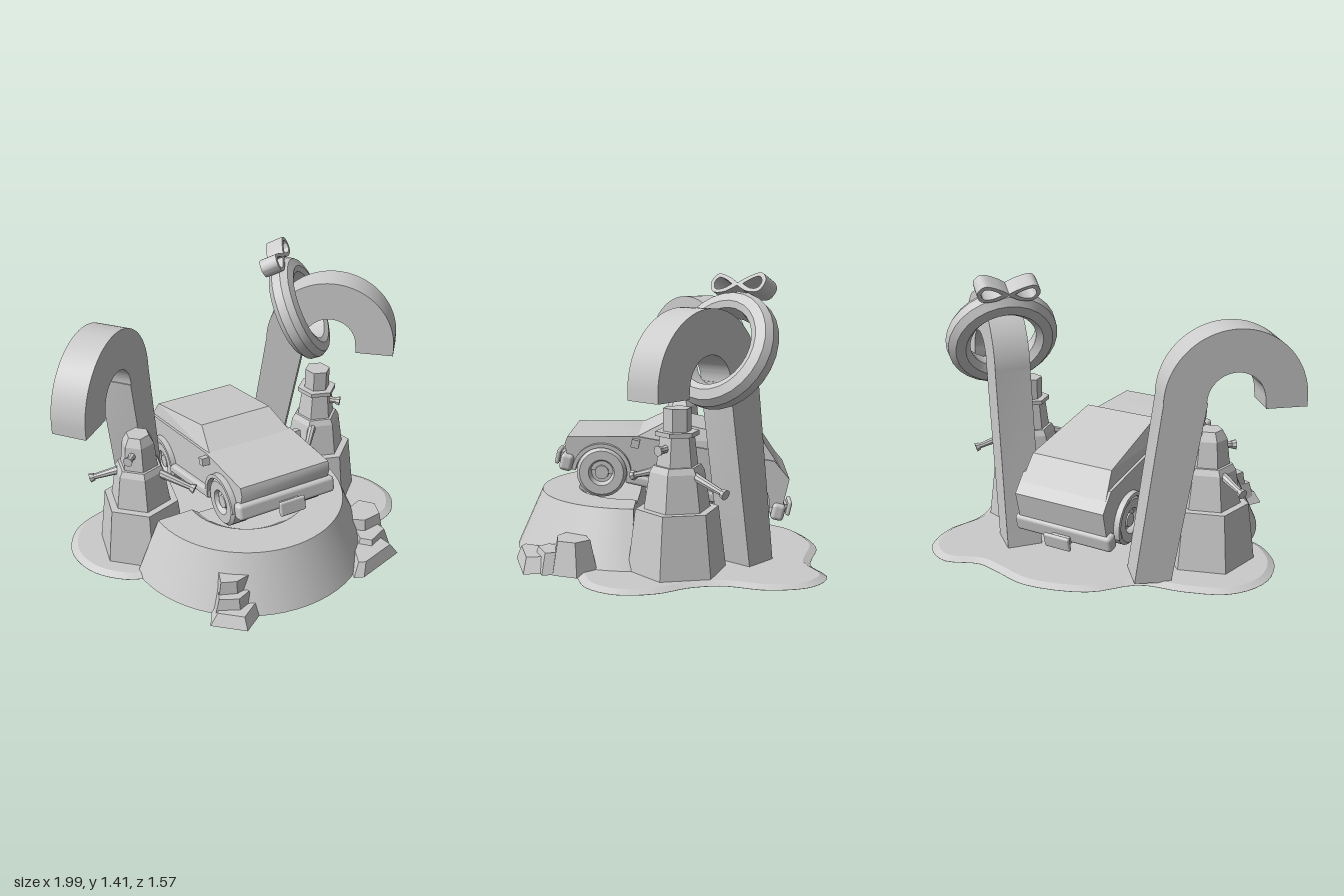
import * as THREE from 'three';
import { toCreasedNormals } from 'three/addons/utils/BufferGeometryUtils.js';
import { ConvexGeometry } from 'three/addons/geometries/ConvexGeometry.js';
import { RoundedBoxGeometry } from 'three/addons/geometries/RoundedBoxGeometry.js';

const smooth = new THREE.MeshStandardMaterial({ color: 0xcccccc, side: THREE.DoubleSide });
const flat = new THREE.MeshStandardMaterial({ color: 0xcccccc, flatShading: true });
const V2 = (x, y) => new THREE.Vector2(x, y);
const V3 = (x, y, z) => new THREE.Vector3(x, y, z);

function add(parent, name, geometry, pos = [0, 0, 0], material = smooth) {
  const mesh = new THREE.Mesh(geometry, material);
  mesh.name = name;
  mesh.position.set(...pos);
  parent.add(mesh);
  return mesh;
}

function extrude(shape, depth, curveSegments = 16) {
  const g = new THREE.ExtrudeGeometry(shape, { depth, curveSegments, bevelEnabled: false });
  g.translate(0, 0, -depth / 2);
  return toCreasedNormals(g, 0.6);
}

function lathe(points, segments, start = 0, length = Math.PI * 2) {
  const g = new THREE.LatheGeometry(points.map(p => V2(...p)), segments, start, length);
  return toCreasedNormals(g, 0.5);
}

// Flat wavy ground sheet with a sloping rim
function buildGround(root) {
  const outline = [[0.1, -0.79], [-0.2, -0.7], [-0.38, -0.52], [-0.6, -0.47], [-0.8, -0.38], [-0.9, -0.2],
    [-0.87, 0], [-0.75, 0.14], [-0.6, 0.22], [-0.4, 0.5], [0.3, 0.5], [0.65, 0.38], [0.8, 0.32], [0.89, 0.18],
    [0.87, 0], [0.78, -0.15], [0.75, -0.3], [0.8, -0.5], [0.75, -0.7], [0.6, -0.79], [0.42, -0.73], [0.3, -0.75]];
  const curve = new THREE.CatmullRomCurve3(outline.map(([x, z]) => V3(x, -z, 0)), true);
  const shape = new THREE.Shape(curve.getPoints(90).slice(0, -1).map(p => V2(p.x, p.y)));
  const sheet = new THREE.ExtrudeGeometry(shape, {
    depth: 0.001, bevelThickness: 0.018, bevelSize: 0.035, bevelOffset: -0.035, bevelSegments: 1,
  });
  // Push the lower bevel outward into a straight footprint
  const p = sheet.attributes.position;
  for (let i = 0; i < p.count; i++) p.setZ(i, Math.max(p.getZ(i), 0));
  add(root, 'groundSheet', toCreasedNormals(sheet, 0.3)).rotation.x = -Math.PI / 2;
}

// Half-round mound with a shallow hollow, cut flat at the back
function buildMound(root) {
  const mound = new THREE.Group();
  mound.name = 'mound';
  mound.position.set(-0.025, 0, 0.125);
  root.add(mound);
  const profile = [[0.64, 0], [0.51, 0.29], [0.32, 0.29], [0.28, 0.26], [0, 0.25]];
  add(mound, 'moundShell', lathe(profile, 32, -Math.PI / 2, Math.PI));
  const section = [...profile, ...profile.slice(0, -1).reverse().map(([x, y]) => [-x, y])];
  add(mound, 'moundBackFace', new THREE.ShapeGeometry(new THREE.Shape(section.map(p => V2(...p)))));
  const floor = new THREE.CircleGeometry(0.64, 32, Math.PI, Math.PI);
  add(mound, 'moundFloor', floor).rotation.x = -Math.PI / 2;
}

// Flat-topped rock ledges against the mound: height, then footprint (x, z)
function buildRocks(root) {
  const ledges = [
    [0.06, [[-0.52, 0.66], [-0.45, 0.54], [-0.26, 0.59], [-0.23, 0.68], [-0.38, 0.78]]],
    [0.12, [[-0.49, 0.64], [-0.44, 0.53], [-0.3, 0.57], [-0.27, 0.66], [-0.37, 0.7]]],
    [0.19, [[-0.46, 0.61], [-0.42, 0.5], [-0.27, 0.52], [-0.26, 0.63], [-0.36, 0.65]]],
    [0.07, [[0.29, 0.7], [0.36, 0.54], [0.58, 0.46], [0.61, 0.64], [0.34, 0.72]]],
    [0.1, [[0.4, 0.56], [0.44, 0.42], [0.6, 0.38], [0.62, 0.55], [0.46, 0.62]]],
    [0.16, [[0.4, 0.47], [0.45, 0.34], [0.58, 0.29], [0.66, 0.38], [0.62, 0.5], [0.48, 0.52]]],
  ];
  for (const [h, foot] of ledges) {
    const cx = foot.reduce((sum, p) => sum + p[0], 0) / foot.length;
    const cz = foot.reduce((sum, p) => sum + p[1], 0) / foot.length;
    const points = foot.flatMap(([x, z]) =>
      [V3(x, 0, z), V3(cx + (x - cx) * 0.72, h, cz + (z - cz) * 0.72)]);
    add(root, 'rockLedge', new ConvexGeometry(points), [0, 0, 0], flat);
  }
}

// Hooked cane: leaning stem and half-round hook of flat section
function buildCane(root, side) {
  const s = new THREE.Shape();
  s.moveTo(0.19, 0.87);
  s.lineTo(0.39, 0.87);
  s.absarc(0.045, 0.915, 0.345, 0, Math.PI, false);
  s.lineTo(-0.43, 0.02);
  s.lineTo(-0.25, 0.01);
  s.lineTo(-0.09, 0.915);
  s.absarc(0.045, 0.915, 0.14, Math.PI, 0, true);
  const cane = add(root, side > 0 ? 'leftCane' : 'rightCane', extrude(s, 0.18, 24), [side * 0.64, 0, -0.2]);
  cane.rotation.y = side > 0 ? -0.707 : 0.707 - Math.PI;
}

// Ring wreath threaded on the hook, with a two-loop bow
function buildWreath(root) {
  const wreath = new THREE.Group();
  wreath.name = 'wreath';
  const axis = V3(0.68, 0.45, 0.58).normalize();
  const across = V3(axis.z, 0, -axis.x).normalize();
  const up = new THREE.Vector3().crossVectors(axis, across);
  wreath.quaternion.setFromRotationMatrix(new THREE.Matrix4().makeBasis(across, up, axis));
  wreath.position.set(0.545, 1.06, -0.295);
  root.add(wreath);
  const ring = lathe([[0.17, -0.03], [0.2, -0.065], [0.25, -0.062], [0.282, -0.03], [0.286, 0.02],
    [0.265, 0.055], [0.22, 0.068], [0.19, 0.055], [0.17, -0.03]], 28);
  add(wreath, 'wreathRing', ring).rotation.x = Math.PI / 2;

  const loop = (k, ox) => [V2(0, 0), V2(0.06 * k, 0.035 * k), V2(0.13 * k, 0.055 * k), V2(0.165 * k, 0.015 * k),
    V2(0.14 * k, -0.035 * k), V2(0.07 * k, -0.035 * k)].map(p => V2(p.x + ox, p.y + ox * 0.05));
  const curved = pts => new THREE.SplineCurve([...pts, pts[0]]).getPoints(30).slice(0, -1);
  const shape = new THREE.Shape(curved(loop(1.02, -0.01)));
  shape.holes.push(new THREE.Path(curved(loop(0.64, 0.032))));
  const bow = new THREE.Group();
  bow.name = 'bow';
  bow.position.set(0, 0.312, 0);
  bow.rotation.z = -0.06;
  wreath.add(bow);
  for (const side of [1, -1]) {
    add(bow, 'bowLoop', extrude(shape, 0.095)).rotation.set(0, side > 0 ? 0 : Math.PI, side * 0.1);
  }
}

// Six-sided stepped tower with small drooping barrels
function buildTower(root, side) {
  const tower = new THREE.Group();
  tower.name = side > 0 ? 'leftTower' : 'rightTower';
  tower.position.set(side * 0.535, 0, -0.085);
  root.add(tower);
  const tier = (name, y0, y1, r0, r1) => {
    const mesh = add(tower, name, new THREE.CylinderGeometry(r1, r0, y1 - y0, 6), [0, (y0 + y1) / 2, 0], flat);
    mesh.rotation.y = side * 0.21;
  };
  tier('towerBase', 0, 0.315, 0.24, 0.2);
  tier('towerMiddle', 0.315, 0.49, 0.16, 0.132);
  tier('towerMiddleLip', 0.49, 0.52, 0.132, 0.115);
  if (side > 0) {
    tier('towerUpper', 0.52, 0.66, 0.1, 0.083);
    tier('towerCollar', 0.66, 0.682, 0.105, 0.105);
    tier('towerTop', 0.65, 0.79, 0.068, 0.068);
  } else {
    tier('towerUpper', 0.52, 0.65, 0.1, 0.085);
    tier('towerCap', 0.65, 0.695, 0.085, 0.06);
  }
  const barrel = (x, z, y, inner, outer, drop) => {
    const g = new THREE.Group();
    g.name = 'barrel';
    const dir = V3(x * side, 0, z).normalize();
    g.position.copy(dir).multiplyScalar(inner).setY(y);
    g.quaternion.setFromUnitVectors(V3(0, 1, 0), dir.clone().setY(-drop).normalize());
    const len = outer - inner;
    add(g, 'barrelTube', new THREE.CylinderGeometry(0.014, 0.022, len, 8), [0, len / 2, 0], flat);
    add(g, 'barrelMuzzle', new THREE.CylinderGeometry(0.026, 0.02, 0.022, 8), [0, len, 0], flat);
    tower.add(g);
  };
  barrel(-0.21, 0.23, 0.48, 0.11, 0.3, 0.3);
  barrel(0.21, side > 0 ? -0.23 : -0.1, 0.48, 0.11, side > 0 ? 0.3 : 0.25, 0.3);
  barrel(0.1, 0.09, 0.605, 0.06, 0.12, 0.05);
}

// Hatchback car, nose pitched up on the mound
function buildCar(root) {
  const car = new THREE.Group();
  car.name = 'car';
  root.add(car);
  const pitch = -0.22;
  const body = new THREE.Shape([[0.46, 0.455], [0.485, 0.56], [0.47, 0.6], [0.12, 0.6], [-0.56, 0.48],
    [-0.635, 0.39], [-0.6, 0.24], [-0.5, 0.25]].map(p => V2(...p)));
  add(car, 'carBody', extrude(body, 0.5)).rotation.y = -Math.PI / 2;
  const corners = [];
  for (const s of [1, -1]) {
    corners.push(V3(s * 0.24, 0.59, 0.14), V3(s * 0.245, 0.4, -0.62), V3(s * 0.24, 0.38, -0.5),
      V3(s * 0.2, 0.675, -0.03), V3(s * 0.225, 0.565, -0.51));
  }
  add(car, 'cabin', new ConvexGeometry(corners), [0, 0, 0], flat);

  // Bumpers and plates
  for (const [name, y, z, dir] of [['front', 0.47, 0.475, 1], ['rear', 0.225, -0.58, -1]]) {
    add(car, name + 'Bumper', new RoundedBoxGeometry(0.55, 0.085, 0.065, 2, 0.02), [0, y, z]).rotation.x = pitch;
    const py = y - 0.01 - (dir < 0 ? 0.02 : 0);
    add(car, name + 'PlateMount', new THREE.BoxGeometry(0.1, 0.04, 0.07), [0, py, z + dir * 0.04]).rotation.x = pitch;
    add(car, name + 'Plate', new RoundedBoxGeometry(0.145, 0.075, 0.022, 2, 0.01), [0, py, z + dir * 0.07])
      .rotation.x = pitch;
  }

  // Wheels, arches, sills and mirrors on both sides
  const wheel = lathe([[0, -0.06], [0.11, -0.06], [0.125, -0.04], [0.125, 0.045], [0.11, 0.06], [0.065, 0.06],
    [0.052, 0.03], [0.036, 0.03], [0.034, 0.05], [0, 0.05]], 28);
  const archShape = new THREE.Shape();
  archShape.absarc(0, 0, 0.148, -0.1, Math.PI + 0.1, false);
  archShape.absarc(0, 0, 0.128, Math.PI + 0.1, -0.1, true);
  const arch = extrude(archShape, 0.06, 16);
  for (const s of [1, -1]) {
    for (const [y, z] of [[0.42, 0.3], [0.265, -0.39]]) {
      add(car, 'wheel', wheel, [s * 0.21, y, z]).rotation.z = -s * Math.PI / 2;
      add(car, 'wheelArch', arch, [s * 0.25, y, z]).rotation.set(pitch, -Math.PI / 2, 0);
    }
    const sill = add(car, 'sill', new RoundedBoxGeometry(0.05, 0.05, 0.46, 2, 0.015), [s * 0.255, 0.345, -0.045]);
    sill.rotation.x = pitch;
    const side = add(car, 'doorPanel', new THREE.BoxGeometry(0.03, 0.14, 0.44), [s * 0.232, 0.4, -0.045]);
    side.rotation.x = pitch;
    add(car, 'mirror', new THREE.BoxGeometry(0.05, 0.04, 0.04), [s * 0.265, 0.57, 0.13]).rotation.x = pitch;
  }
}

export function createModel() {
  const root = new THREE.Group();
  root.name = 'holidayCarScene';
  buildGround(root);
  buildMound(root);
  buildRocks(root);
  for (const side of [1, -1]) {
    buildCane(root, side);
    buildTower(root, side);
  }
  buildWreath(root);
  buildCar(root);
  return root;
}
